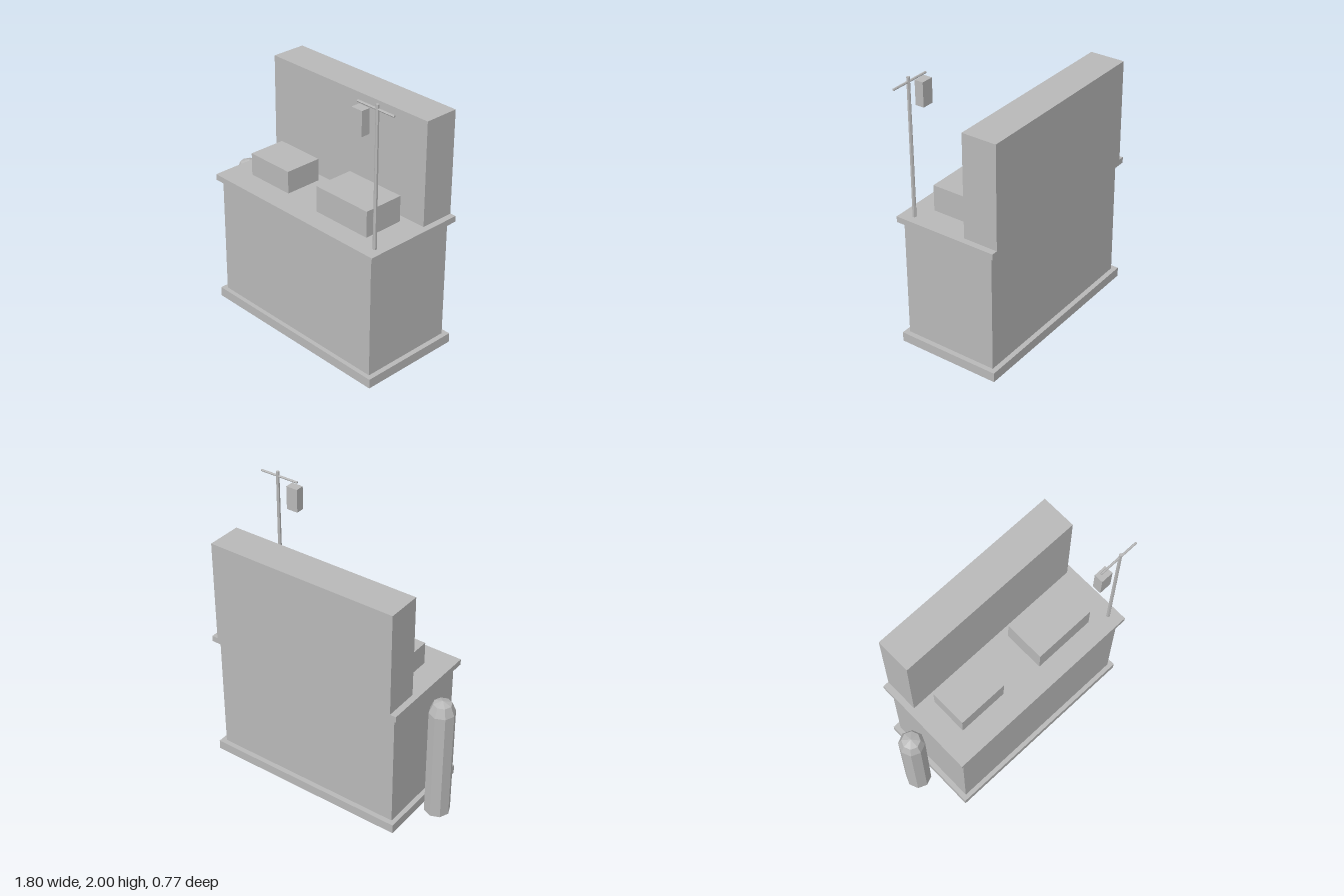
import * as THREE from 'three';

export function createModel() {
  const model = new THREE.Group();
  model.name = 'counterStall';
  const grey = new THREE.MeshStandardMaterial({ color: 0xb8b8b8 });
  grey.name = 'plain grey';
  grey.flatShading = true;

  function add(name, geometry, x, y, z) {
    const mesh = new THREE.Mesh(geometry, grey);
    mesh.name = name;
    mesh.position.set(x, y, z);
    model.add(mesh);
    return mesh;
  }

  // Box given by its extents along each axis
  function box(name, x0, x1, y0, y1, z0, z1) {
    return add(name, new THREE.BoxGeometry(x1 - x0, y1 - y0, z1 - z0),
      (x0 + x1) / 2, (y0 + y1) / 2, (z0 + z1) / 2);
  }

  // Counter with its overhanging slabs
  box('plinth', -0.7, 0.826, 0, 0.07, -0.387, 0.387);
  box('counterBody', -0.665, 0.789, 0.07, 0.957, -0.35, 0.355);
  box('countertop', -0.7, 0.826, 0.957, 1, -0.387, 0.387);

  // Shelf block and goods standing on the counter
  box('backShelf', -0.655, 0.78, 1, 1.754, -0.387, -0.13);
  box('leftCrate', 0.157, 0.625, 1, 1.19, -0.07, 0.235);
  box('rightCrate', -0.525, -0.15, 1, 1.165, -0.07, 0.208);

  // Post with crossbar and hanging lantern
  add('post', new THREE.CylinderGeometry(0.012, 0.014, 1, 6), 0.757, 1.5, 0.293);
  add('crossbar', new THREE.CylinderGeometry(0.008, 0.008, 0.308, 6), 0.744, 1.967, 0.293)
    .rotation.z = Math.PI / 2;
  box('lantern', 0.57, 0.66, 1.757, 1.931, 0.261, 0.326);

  // Octagonal bollard with a chamfered, slightly pointed top
  const profile = [[0, 0], [0.092, 0], [0.092, 0.85], [0.065, 0.918], [0, 0.94]]
    .map(([r, y]) => new THREE.Vector2(r, y));
  add('bollard', new THREE.LatheGeometry(profile, 8), -0.808, 0, 0);

  return model;
}
